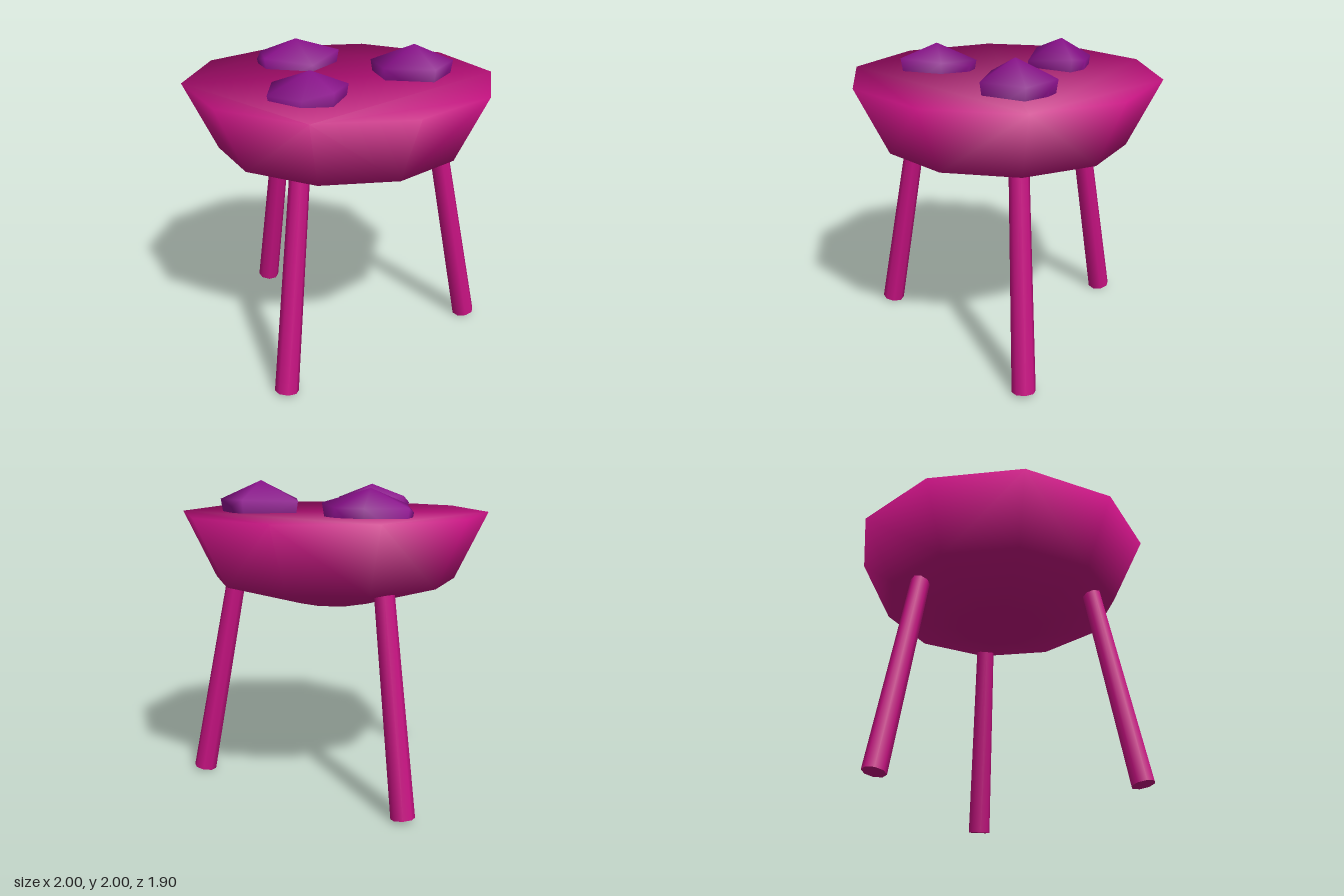
import * as THREE from 'three';
import { mergeVertices } from 'three/addons/utils/BufferGeometryUtils.js';
import { ConvexGeometry } from 'three/addons/geometries/ConvexGeometry.js';

// Convex solid around points, with normals smoothed over every edge
function smoothHull(points) {
  let geo = new ConvexGeometry(points);
  geo.deleteAttribute('normal');
  geo = mergeVertices(geo, 1e-4);
  geo.computeVertexNormals();
  return geo;
}

// Ten-sided bowl with a closed flat top, shaded smoothly across the rim
function bowlGeometry() {
  // radius, height, outward and upward part of the normal
  const rings = [[1, 1.8, 0.85, 0.53], [0.79, 1.367, 0.69, -0.73], [0.262, 1.215, 0.14, -0.99]];
  const points = [];
  for (const [r, y] of rings) {
    for (let i = 0; i < 10; i++) {
      const a = (i / 10) * Math.PI * 2;
      points.push(new THREE.Vector3(r * Math.cos(a), y, r * Math.sin(a)));
    }
  }
  const geo = smoothHull(points);
  const pos = geo.attributes.position;
  for (let i = 0; i < pos.count; i++) {
    const [, , out, up] = rings.find((ring) => Math.abs(ring[1] - pos.getY(i)) < 0.01);
    const a = Math.atan2(pos.getZ(i), pos.getX(i));
    geo.attributes.normal.setXYZ(i, out * Math.cos(a), up, out * Math.sin(a));
  }
  return geo;
}

// Faceted lump: a peak, a shoulder outline and a narrower buried base
function lumpGeometry(peak, outline) {
  const top = new THREE.Vector3(...peak);
  const points = [top];
  for (const p of outline) {
    const v = new THREE.Vector3(...p);
    const base = top.clone().lerp(v, 0.88);
    base.y = 1.68;
    points.push(v, base);
  }
  return smoothHull(points);
}

export function createModel() {
  const model = new THREE.Group();
  const magenta = new THREE.MeshStandardMaterial({ color: 0xc71282 });
  magenta.name = 'magenta';
  const purple = new THREE.MeshStandardMaterial({ color: 0x8b118c });
  purple.name = 'purple';

  const add = (name, geo, material) => {
    const mesh = new THREE.Mesh(geo, material);
    mesh.name = name;
    model.add(mesh);
    return mesh;
  };

  add('bowl', bowlGeometry(), magenta);

  // Three splayed legs, their tops sunk into the bowl
  const up = new THREE.Vector3(0, 1, 0);
  for (let i = 0; i < 3; i++) {
    const a = (i / 3) * Math.PI * 2;
    const at = (r, y) => new THREE.Vector3(r * Math.cos(a), y, r * Math.sin(a));
    const foot = at(0.91, 0.015);
    const head = at(0.647, 1.4);
    const leg = add('leg' + (i + 1),
      new THREE.CylinderGeometry(0.062, 0.075, foot.distanceTo(head), 8), magenta);
    leg.position.copy(foot).lerp(head, 0.5);
    leg.quaternion.setFromUnitVectors(up, head.sub(foot).normalize());
  }

  // Three lumps resting in the bowl
  add('leftLump', lumpGeometry([0.48, 2, 0], [
    [0.745, 1.88, -0.02], [0.57, 1.88, 0.22], [0.26, 1.875, 0.12],
    [0.225, 1.875, -0.15], [0.57, 1.885, -0.24], [0.65, 1.84, -0.17],
  ]), purple);
  add('frontLump', lumpGeometry([-0.24, 1.96, 0.42], [
    [-0.01, 1.87, 0.41], [-0.13, 1.885, 0.66], [-0.32, 1.84, 0.65], [-0.5, 1.83, 0.47],
    [-0.46, 1.88, 0.35], [-0.14, 1.86, 0.17], [-0.06, 1.84, 0.22],
  ]), purple);
  add('backLump', lumpGeometry([-0.24, 1.972, -0.41], [
    [0.055, 1.885, -0.42], [-0.15, 1.84, -0.17], [-0.46, 1.87, -0.28], [-0.5, 1.83, -0.46],
    [-0.47, 1.86, -0.56], [-0.2, 1.86, -0.6], [-0.03, 1.86, -0.53],
  ]), purple);

  return model;
}
